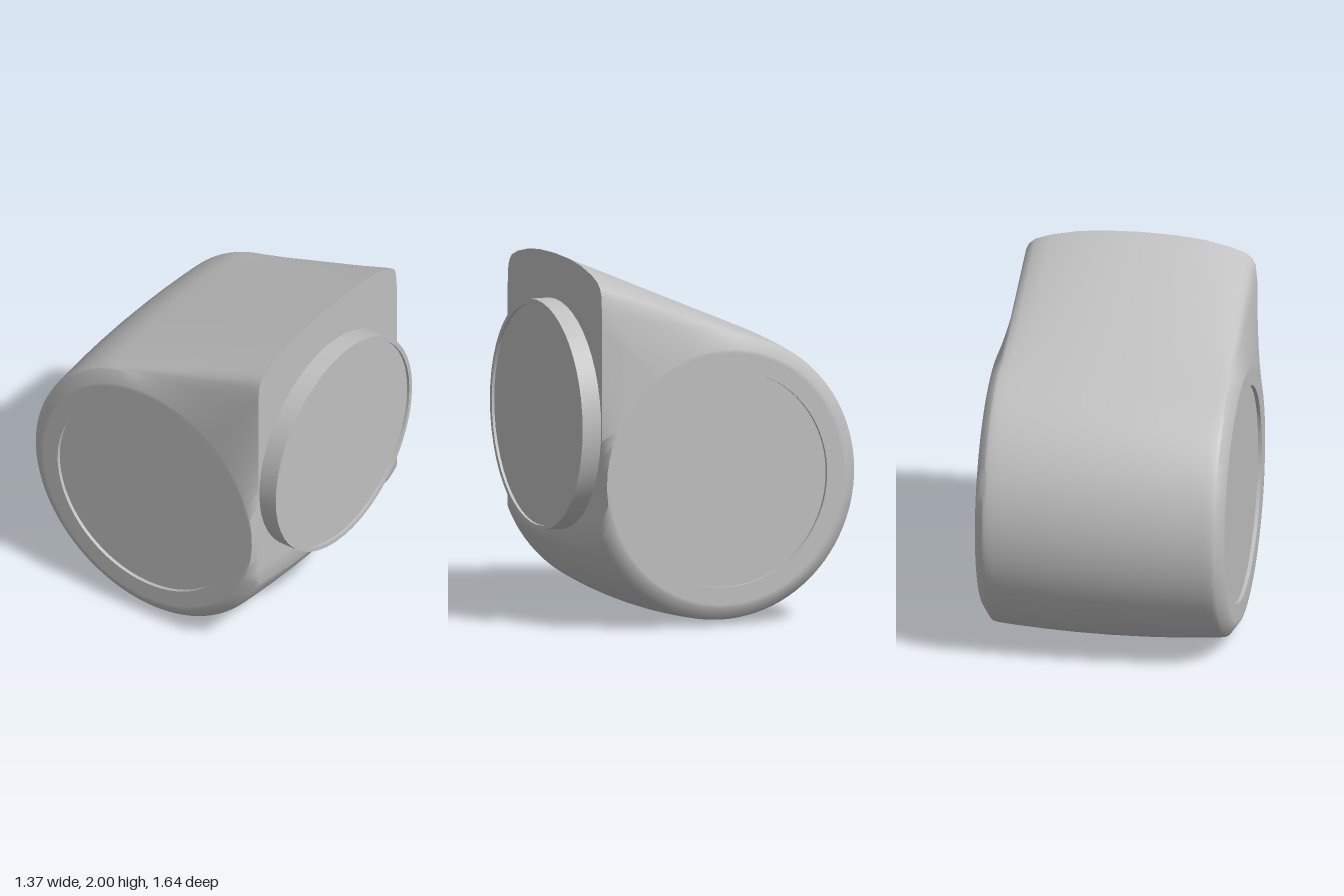
import * as THREE from 'three';
import { toCreasedNormals } from 'three/addons/utils/BufferGeometryUtils.js';

const CZ = -0.01, CY = 0.81;   // axis of the round body
const FRONT = 0.72;            // front plane, measured from the axis
const SEG = { line: 14, arc: 64, face: 14 };

// One teardrop section as [z, y] pairs: tangent line, round back, flat front.
// d0 shrinks the round part, d1 lowers the top front corner.
function section(d0, d1) {
  const R = 0.81 - d0, cy = 1.19 - d1, pts = [];
  const tangent = Math.atan2(cy, FRONT) + Math.acos(R / Math.hypot(FRONT, cy));
  const low = 2 * Math.PI - Math.acos(FRONT / R);
  const tz = R * Math.cos(tangent), ty = R * Math.sin(tangent);
  for (let i = 0; i < SEG.line; i++) {
    const t = i / SEG.line;
    pts.push([FRONT + (tz - FRONT) * t, cy + (ty - cy) * t]);
  }
  for (let i = 0; i < SEG.arc; i++) {
    const a = tangent + (low - tangent) * i / SEG.arc;
    pts.push([R * Math.cos(a), R * Math.sin(a)]);
  }
  const ly = R * Math.sin(low);
  for (let i = 0; i < SEG.face; i++) pts.push([FRONT, ly + (cy - ly) * i / SEG.face]);
  return pts;
}

// Body lofted across x, with crowned skin, bevelled sides and recessed side discs
function bodyGeometry() {
  const crown = [[0, 0, 0], [0.2, 0.003, 0.006], [0.35, 0.009, 0.022], [0.5, 0.018, 0.055],
    [0.58, 0.024, 0.085], [0.615, 0.028, 0.115], [0.632, 0.032, 0.155], [0.64, 0.036, 0.25]];
  const half = crown.map(([x, d0, d1]) => ({ x, pts: section(d0, d1) }));
  const edge = half[half.length - 1].pts;
  const circle = (r) => edge.map(([z, y]) => {
    const l = Math.hypot(z, y);
    return [z / l * r, y / l * r];
  });
  for (const [x, r] of [[0.685, 0.71], [0.685, 0.69], [0.685, 0.595], [0.665, 0.595]]) {
    half.push({ x, pts: circle(r) });
  }
  const rings = [...half.slice(1).reverse().map(({ x, pts }) => ({ x: -x, pts })), ...half];
  const n = edge.length, pos = [], idx = [];
  for (const { x, pts } of rings) for (const [z, y] of pts) pos.push(x, CY + y, CZ + z);
  for (let j = 0; j < rings.length - 1; j++) {
    for (let i = 0; i < n; i++) {
      const k = (i + 1) % n, a = j * n, b = a + n;
      idx.push(a + i, b + i, b + k, a + i, b + k, a + k);
    }
  }
  const g = new THREE.BufferGeometry();
  g.setAttribute('position', new THREE.Float32BufferAttribute(pos, 3));
  g.setIndex(idx);
  return toCreasedNormals(g, 0.95);
}

export function createModel() {
  const model = new THREE.Group();
  model.name = 'roundedHousing';
  const grey = new THREE.MeshStandardMaterial({ color: 0xc0c0c0 });
  grey.name = 'plain grey';
  const add = (name, geometry) => {
    const m = new THREE.Mesh(geometry, grey);
    m.name = name;
    model.add(m);
    return m;
  };

  add('body', bodyGeometry());

  // Recessed discs on both sides
  for (const s of [1, -1]) {
    const disc = add(s > 0 ? 'leftDisc' : 'rightDisc', new THREE.CircleGeometry(0.597, 64));
    disc.rotation.y = s * Math.PI / 2;
    disc.position.set(s * 0.665, CY, CZ);
  }

  // Round front collar with a thin rim and a slightly sunken face
  const profile = [[0.63, 0], [0.63, 0.12], [0.605, 0.12], [0.605, 0.105], [0, 0.105]]
    .map(([r, h]) => new THREE.Vector2(r, h));
  const collar = add('frontCollar', toCreasedNormals(new THREE.LatheGeometry(profile, 48), 0.5));
  collar.rotation.x = Math.PI / 2;
  collar.position.set(0, 1.12, 0.7);

  return model;
}
